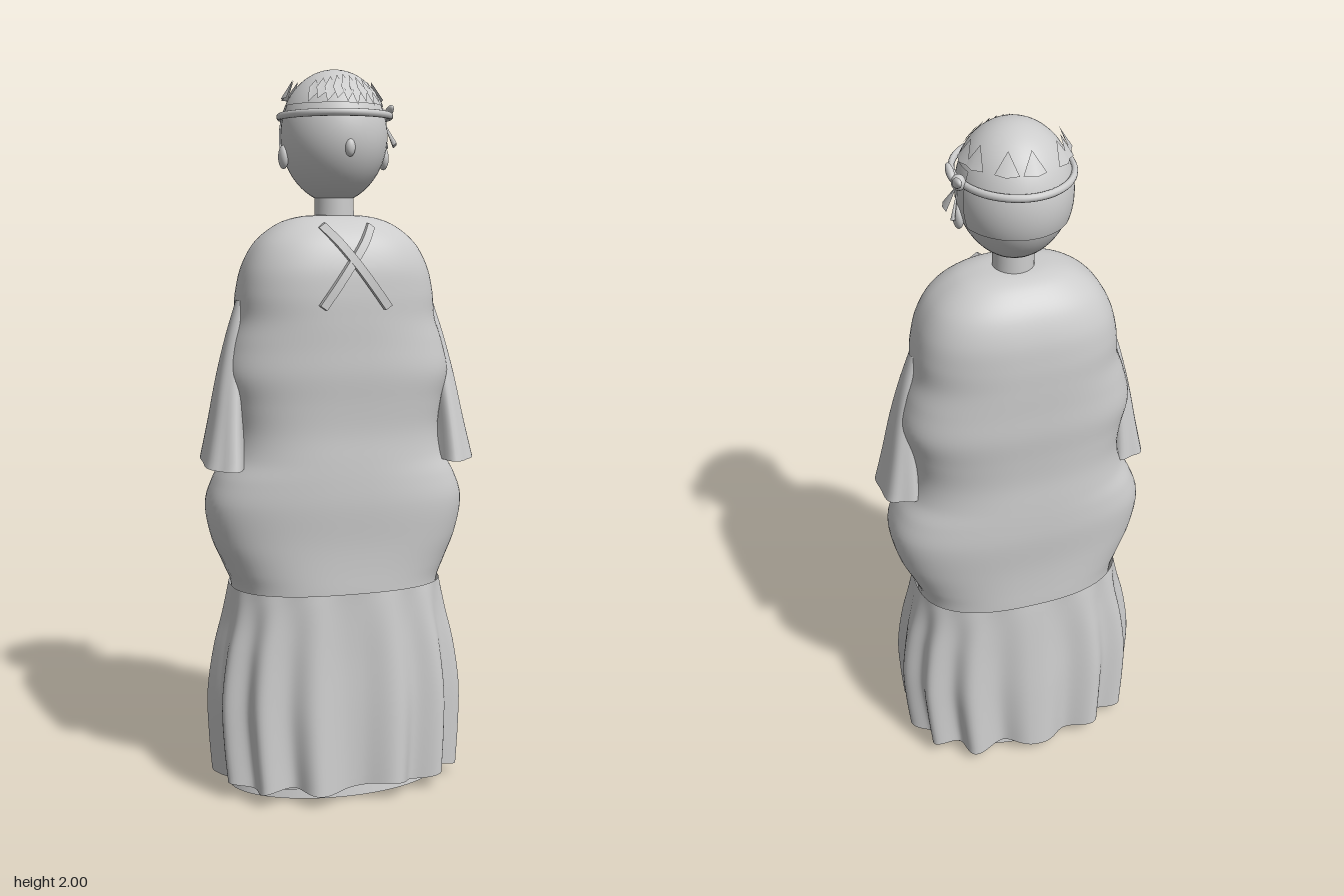
import * as THREE from 'three';

const grey = new THREE.MeshStandardMaterial({ color: 0xcccccc });
const thin = new THREE.MeshStandardMaterial({ color: 0xcccccc, side: THREE.DoubleSide });
const V = (x, y, z) => new THREE.Vector3(x, y, z);

// Surface through point(angle, v); angle 0 faces the front, v runs upwards
function loft(point, nu, nv) {
  const pos = [], idx = [];
  for (let j = 0; j <= nv; j++) for (let i = 0; i < nu; i++) {
    pos.push(...point((i / nu) * Math.PI * 2, j / nv).toArray());
    if (j < nv) {
      const a = j * nu + i, b = j * nu + (i + 1) % nu;
      idx.push(a, b, b + nu, a, b + nu, a + nu);
    }
  }
  const g = new THREE.BufferGeometry();
  g.setAttribute('position', new THREE.Float32BufferAttribute(pos, 3));
  g.setIndex(idx);
  g.computeVertexNormals();
  return g;
}

// Rounded-oblong ring of half width w and half depth d
const ring = (t, w, d, y, n = 2.5) => {
  const f = (c) => Math.sign(c) * Math.abs(c) ** (2 / n);
  return V(f(Math.sin(t)) * w, y, f(Math.cos(t)) * d);
};

// Profile points are (half width, height, half depth)
const profile = (rows) => new THREE.CatmullRomCurve3(rows.map((r) => V(...r)), false, 'centripetal');

export function createModel() {
  const model = new THREE.Group();
  const add = (name, geo, parent = model, mat = grey) => {
    const m = new THREE.Mesh(geo, mat);
    m.name = name;
    parent.add(m);
    return m;
  };
  const ball = (name, parent, x, y, z, rx, ry, rz) => {
    const m = add(name, new THREE.SphereGeometry(1, 24, 16), parent);
    m.position.set(x, y, z);
    m.scale.set(rx, ry, rz);
    return m;
  };

  // Draped robe with bulging folds
  const robe = profile([
    [0.29, 0.03, 0.18], [0.29, 0.3, 0.18], [0.295, 0.58, 0.188], [0.318, 0.64, 0.188], [0.352, 0.72, 0.188],
    [0.368, 0.82, 0.19], [0.345, 0.89, 0.188], [0.31, 0.95, 0.186], [0.296, 1.02, 0.184],
    [0.305, 1.1, 0.187], [0.322, 1.18, 0.19], [0.305, 1.26, 0.187], [0.282, 1.33, 0.187],
    [0.275, 1.4, 0.187], [0.258, 1.47, 0.18], [0.222, 1.535, 0.155], [0.16, 1.585, 0.11],
    [0.1, 1.605, 0.07], [0.03, 1.61, 0.02], [0, 1.61, 0],
  ]);
  add('robe', loft((t, v) => {
    const p = robe.getPoint(v);
    const fold = 1 + 0.012 * Math.sin(16 * p.y + 2 * Math.sin(t));
    return ring(t, p.x, p.z * fold, p.y);
  }, 72, 110));

  // Pleated open skirt
  const skirt = profile([[0.335, 0.04, 0.228], [0.347, 0.15, 0.222], [0.353, 0.27, 0.215],
    [0.338, 0.4, 0.206], [0.316, 0.5, 0.2], [0.302, 0.585, 0.195]]);
  add('skirt', loft((t, v) => {
    const p = skirt.getPoint(v);
    const pleat = -Math.cos(13 * t) * 0.02 * (1 - v) ** 0.8;
    const hem = 0.008 * Math.sin(9 * t) * (1 - v) ** 6;
    return ring(t, p.x + pleat, p.z + pleat, p.y + hem);
  }, 208, 24), model, thin);

  // Base and feet
  const base = add('base', new THREE.CylinderGeometry(0.3, 0.31, 0.036, 64));
  base.position.y = 0.022;
  base.scale.z = 0.61;
  for (const s of [-1, 1]) ball('foot', model, s * 0.06, 0.025, 0.02, 0.045, 0.025, 0.075);

  // Arms with flared sleeves
  for (const s of [-1, 1]) {
    const arm = new THREE.Group();
    arm.name = s > 0 ? 'leftArm' : 'rightArm';
    model.add(arm);
    const path = new THREE.CatmullRomCurve3([V(s * 0.165, 1.52, 0), V(s * 0.235, 1.38, 0.01),
      V(s * 0.28, 1.22, 0.02), V(s * 0.3, 0.95, 0.045)]);
    add('upperArm', new THREE.TubeGeometry(path, 24, 0.038, 16), arm);
    ball('shoulder', arm, s * 0.165, 1.52, 0, 0.038, 0.038, 0.038);
    // centre x, height, half width, half depth
    const rows = [[0.326, 0.94, 0.06, 0.104], [0.317, 1.05, 0.046, 0.084], [0.304, 1.17, 0.036, 0.062],
      [0.285, 1.28, 0.028, 0.042], [0.262, 1.38, 0.02, 0.025]];
    const centre = profile(rows.map((r) => [r[0], r[1], 0]));
    const size = profile(rows.map((r) => [r[2], r[1], r[3]]));
    add('sleeve', loft((t, v) => {
      const c = centre.getPoint(v), q = size.getPoint(v);
      const wave = 1 + 0.07 * Math.cos(5 * t + s) * (1 - v);
      const p = ring(t, q.x * wave, q.z * wave, q.y, 2.2);
      return p.add(V(s * c.x, -0.012 * Math.cos(t) * (1 - v), 0.012 + 0.022 * (1 - v)));
    }, 40, 16), arm, thin);
    ball('hand', arm, s * 0.3, 0.935, 0.05, 0.026, 0.034, 0.024);
  }

  // Crossed collar ribbons, bent over the chest
  for (const s of [-1, 1]) {
    const line = new THREE.CatmullRomCurve3([V(-s * 0.07, 1.582, 0.112), V(-s * 0.035, 1.535, 0.165),
      V(s * 0.01, 1.475, 0.19), V(s * 0.05, 1.42, 0.199), V(s * 0.09, 1.365, 0.2)]);
    const g = new THREE.BoxGeometry(0.018, 1, 0.02, 1, 20, 1);
    const p = g.attributes.position;
    for (let i = 0; i < p.count; i++) {
      const c = line.getPoint(0.5 - p.getY(i));
      p.setXYZ(i, c.x + p.getX(i), c.y + s * p.getX(i) * 0.7, c.z + p.getZ(i) + s * 0.002);
    }
    g.computeVertexNormals();
    add('collarRibbon', g);
  }

  // Neck and head
  const neck = add('neck', new THREE.CylinderGeometry(0.053, 0.056, 0.1, 32));
  neck.position.y = 1.62;
  const head = new THREE.Group();
  head.name = 'head';
  head.position.set(0, 1.82, -0.002);
  model.add(head);
  const skull = new THREE.SphereGeometry(1, 48, 32);
  const sp = skull.attributes.position;
  for (let i = 0; i < sp.count; i++) {
    const y = sp.getY(i), k = y < 0 ? 1 - 0.06 * y * y : 1;
    sp.setXYZ(i, sp.getX(i) * 0.146 * k, y * 0.178, sp.getZ(i) * 0.154 * k);
  }
  skull.computeVertexNormals();
  add('face', skull, head);
  ball('nose', head, 0, -0.035, 0.148, 0.014, 0.024, 0.014);
  for (const s of [-1, 1]) ball('ear', head, s * 0.143, -0.055, 0, 0.014, 0.032, 0.022);

  // Hair over the crown and down the back
  const crown = add('crownHair', new THREE.SphereGeometry(1, 48, 12, 0, Math.PI * 2, 0, 1.1), head, thin);
  const back = add('backHair', new THREE.SphereGeometry(1, 32, 16, Math.PI + 0.3, Math.PI - 0.6, 0.9, 1.05), head, thin);
  for (const m of [crown, back]) m.scale.set(0.15, 0.18, 0.16);

  // Point on the dome: angle round from the front, polar angle from the top, lift
  const dome = (a, b, k) => V(Math.sin(a) * Math.sin(b) * 0.15 * k, Math.cos(b) * 0.18 * k,
    Math.cos(a) * Math.sin(b) * 0.16 * k);
  const shard = (name, pts) => {
    const g = new THREE.BufferGeometry().setFromPoints(pts);
    g.setIndex(pts.slice(2).flatMap((_, i) => [0, i + 1, i + 2]));
    g.computeVertexNormals();
    return add(name, g, head, thin);
  };

  // Swept fringe locks
  for (let i = -4; i <= 4; i++) {
    const a = i * 0.19, top = 0.5 + 0.04 * Math.abs(i);
    shard('fringeLock', [dome(a * 1.1, top, 1.025), dome(a - 0.14, 0.85, 1.04),
      dome(a - 0.05, 1.12 + 0.05 * (i % 2), 1.06), dome(a + 0.14, 0.9, 1.02)]);
  }

  // Headband
  const band = add('headband', new THREE.TorusGeometry(1, 0.055, 12, 72), head);
  band.rotation.x = Math.PI / 2;
  band.scale.set(0.149, 0.171, 0.18);
  band.position.set(0, 0.054, 0.006);

  // Pointed leaves tucked round the band
  for (const a of [3.2, 2.7, 2.05, 1.7, -1.7, -2.05, -2.35]) {
    shard('leaf', [dome(a, 0.72, 1.13), dome(a - 0.22, 1.02, 1.08), dome(a, 1.05, 1.12), dome(a + 0.22, 1.02, 1.08)]);
  }

  // Side bow: knot, loops and hanging tails
  const bow = new THREE.Group();
  bow.name = 'bow';
  bow.position.set(0.153, 0.06, -0.046);
  head.add(bow);
  ball('knot', bow, 0, 0, 0, 0.018, 0.02, 0.02);
  for (const s of [-1, 1]) {
    const loop = ball('bowLoop', bow, 0.012, 0.014, s * 0.03, 0.01, 0.013, 0.03);
    loop.rotation.x = -s * 0.4;
    const tail = add('bowTail', new THREE.ConeGeometry(0.016, 0.085, 4), bow);
    tail.position.set(0.014, -0.042, s * 0.02);
    tail.rotation.set(-s * 0.45, 0, 0.3);
    tail.scale.x = 0.4;
  }
  return model;
}
